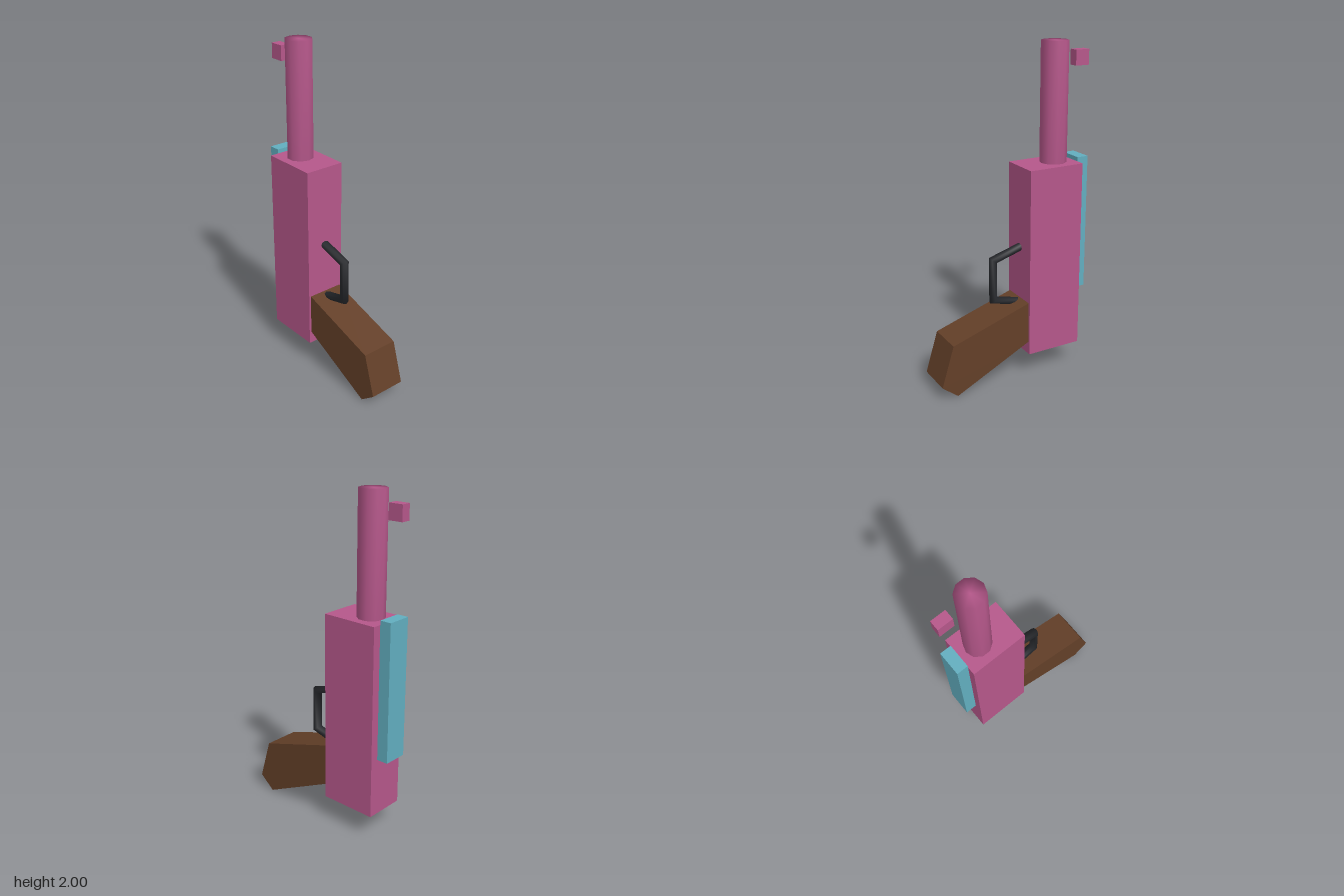
import * as THREE from 'three';
import { mergeVertices } from 'three/addons/utils/BufferGeometryUtils.js';

const PINK = 0xb5578a, TEAL = 0x62aebf, BROWN = 0x633f28, BLACK = 0x26282c;

function part(name, geometry, color, flatShading = false) {
  const mesh = new THREE.Mesh(geometry, new THREE.MeshStandardMaterial({ color, flatShading }));
  mesh.name = name;
  return mesh;
}

// Box given by its limits on each axis
function box(name, color, [x0, x1], [y0, y1], [z0, z1]) {
  const mesh = part(name, new THREE.BoxGeometry(x1 - x0, y1 - y0, z1 - z0), color, true);
  mesh.position.set((x0 + x1) / 2, (y0 + y1) / 2, (z0 + z1) / 2);
  return mesh;
}

// Tube with mitred corners along [z, y] points, wider in x than in the bend plane
function mitredTube(points, rx, r, sides) {
  const path = points.map(([z, y]) => new THREE.Vector3(0, y, z));
  const xAxis = new THREE.Vector3(1, 0, 0);
  const dirs = path.slice(1).map((p, i) => p.clone().sub(path[i]).normalize());
  const pos = [], index = [];
  path.forEach((p, i) => {
    const before = dirs[Math.max(i - 1, 0)], after = dirs[Math.min(i, dirs.length - 1)];
    const t = before.clone().add(after).normalize();
    const n = t.clone().cross(xAxis).multiplyScalar(r / t.dot(after));
    for (let k = 0; k < sides; k++) {
      const a = (k / sides) * Math.PI * 2;
      pos.push(rx * Math.cos(a), p.y + n.y * Math.sin(a), p.z + n.z * Math.sin(a));
      if (i < path.length - 1) {
        const a0 = i * sides + k, a1 = i * sides + (k + 1) % sides;
        index.push(a0, a1, a0 + sides, a1, a1 + sides, a0 + sides);
      }
    }
  });
  const g = new THREE.BufferGeometry();
  g.setAttribute('position', new THREE.Float32BufferAttribute(pos, 3));
  g.setIndex(index);
  g.computeVertexNormals();
  return g;
}

export function createModel() {
  const group = new THREE.Group();

  // Main block, rear rail and the sight floating beside the barrel tip
  group.add(box('body', PINK, [-0.125, 0.125], [0.15, 1.3], [-0.418, -0.068]));
  group.add(box('rail', TEAL, [-0.074, 0.074], [0.5, 1.325], [-0.488, -0.418]));
  group.add(box('sight', PINK, [-0.029, 0.029], [1.85, 1.94], [-0.508, -0.42]));

  // Ten-sided barrel, shaded smoothly over the end
  let barrelGeo = new THREE.CylinderGeometry(0.08, 0.08, 0.75, 10);
  barrelGeo.deleteAttribute('normal');
  barrelGeo.deleteAttribute('uv');
  barrelGeo = mergeVertices(barrelGeo);
  barrelGeo.computeVertexNormals();
  const barrel = part('barrel', barrelGeo, PINK);
  barrel.position.set(0, 1.625, -0.294);
  group.add(barrel);

  // Grip: side profile in [z, y], extruded across x
  const profile = [[-0.07, 0.23], [0.41, 0], [0.508, 0.078], [0.432, 0.328], [-0.07, 0.485]];
  const gripGeo = new THREE.ExtrudeGeometry(
    new THREE.Shape(profile.map(([z, y]) => new THREE.Vector2(z, y))),
    { depth: 0.224, bevelEnabled: false });
  gripGeo.translate(0, 0, -0.112).rotateY(-Math.PI / 2);
  group.add(part('grip', gripGeo, BROWN, true));

  // Trigger guard
  const guard = mitredTube([[-0.08, 0.81], [0.111, 0.755], [0.111, 0.503], [-0.08, 0.454]], 0.029, 0.022, 8);
  group.add(part('triggerGuard', guard, BLACK));

  return group;
}
